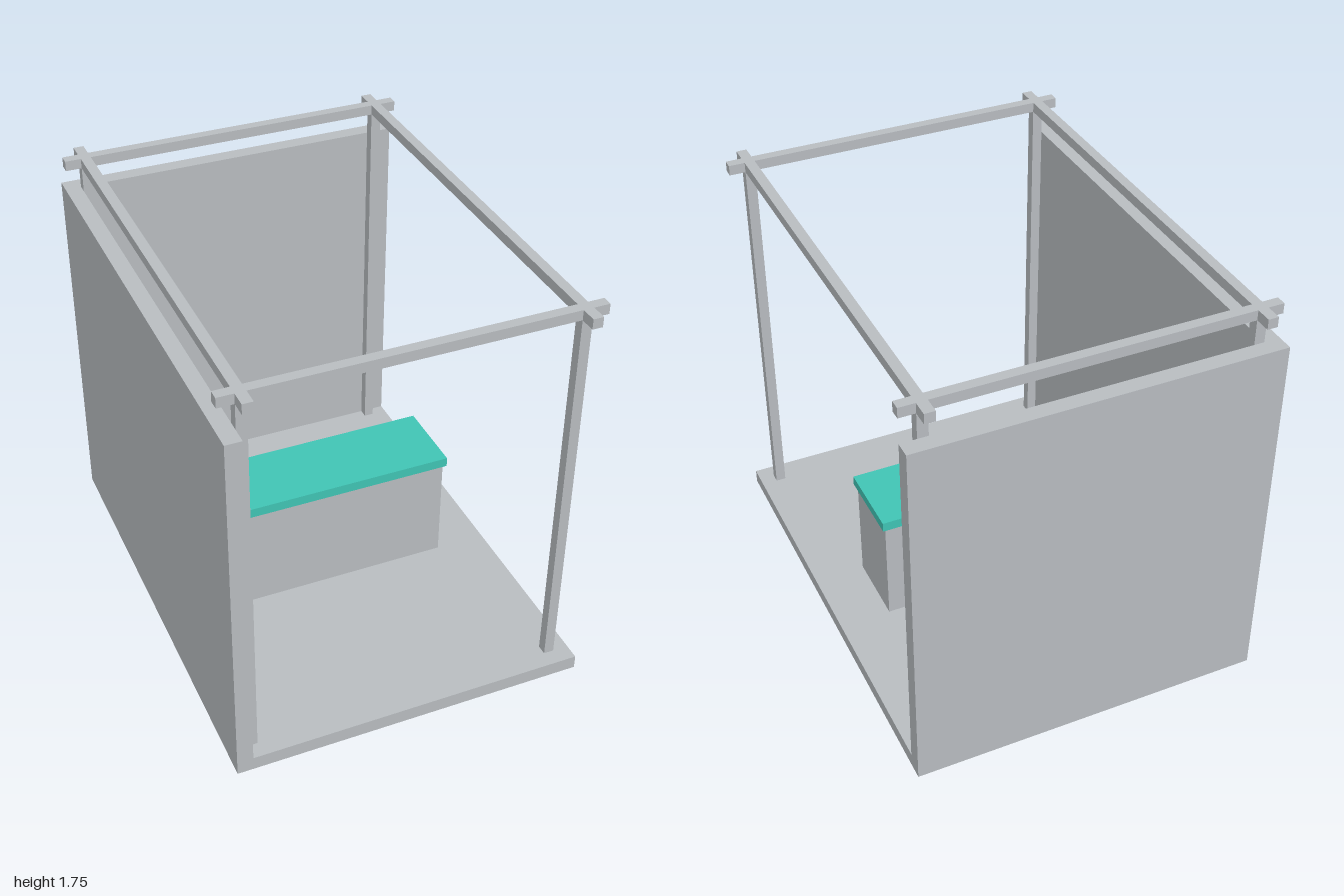
import * as THREE from 'three';

const W = 1.5, D = 2, FLOOR = 0.06, WALL = 0.067, WALL_TOP = 1.6;
const BAR = 0.043, TOP = 1.75;

export function createModel() {
  const model = new THREE.Group();
  model.name = 'exhibitionBooth';

  const grey = new THREE.MeshStandardMaterial({ color: 0xb8bcc0 });
  grey.name = 'light grey';
  const teal = new THREE.MeshStandardMaterial({ color: 0x40c4b4 });
  teal.name = 'teal';

  // Box given by its lower and upper limits on each axis
  function box(name, material, [x0, x1], [y0, y1], [z0, z1]) {
    const mesh = new THREE.Mesh(new THREE.BoxGeometry(x1 - x0, y1 - y0, z1 - z0), material);
    mesh.position.set((x0 + x1) / 2, (y0 + y1) / 2, (z0 + z1) / 2);
    mesh.name = name;
    model.add(mesh);
  }
  const around = (centre, size) => [centre - size / 2, centre + size / 2];

  // Floor slab and the two walls that meet at the back corner
  const innerX = -W / 2 + WALL, innerZ = -D / 2 + WALL;
  box('floor', grey, [innerX, W / 2], [0, FLOOR], [innerZ, D / 2]);
  box('sideWall', grey, [-W / 2, innerX], [0, WALL_TOP], [-D / 2, D / 2]);
  box('backWall', grey, [innerX, W / 2], [0, WALL_TOP], [-D / 2, innerZ]);

  // Frame: four posts carrying crossed beams with projecting ends
  const postX = W / 2 - WALL - BAR / 2, postZ = D / 2 - WALL - BAR / 2;
  const beamY = [TOP - BAR, TOP];
  for (const s of [-1, 1]) {
    for (const t of [-1, 1]) {
      box('post', grey, around(s * postX, BAR), [FLOOR, TOP - BAR], around(t * postZ, BAR));
    }
    box('longBeam', grey, around(s * postX, BAR), beamY, [-D / 2, D / 2]);
    box('crossBeam', grey, [-W / 2, W / 2], beamY, around(s * postZ, BAR));
  }

  // Counter with an overhanging top
  box('counterBody', grey, around(0, 1.06), [FLOOR, 0.53], around(0, 0.315));
  box('counterTop', teal, around(0, 1.087), [0.53, 0.572], around(0, 0.338));

  return model;
}
